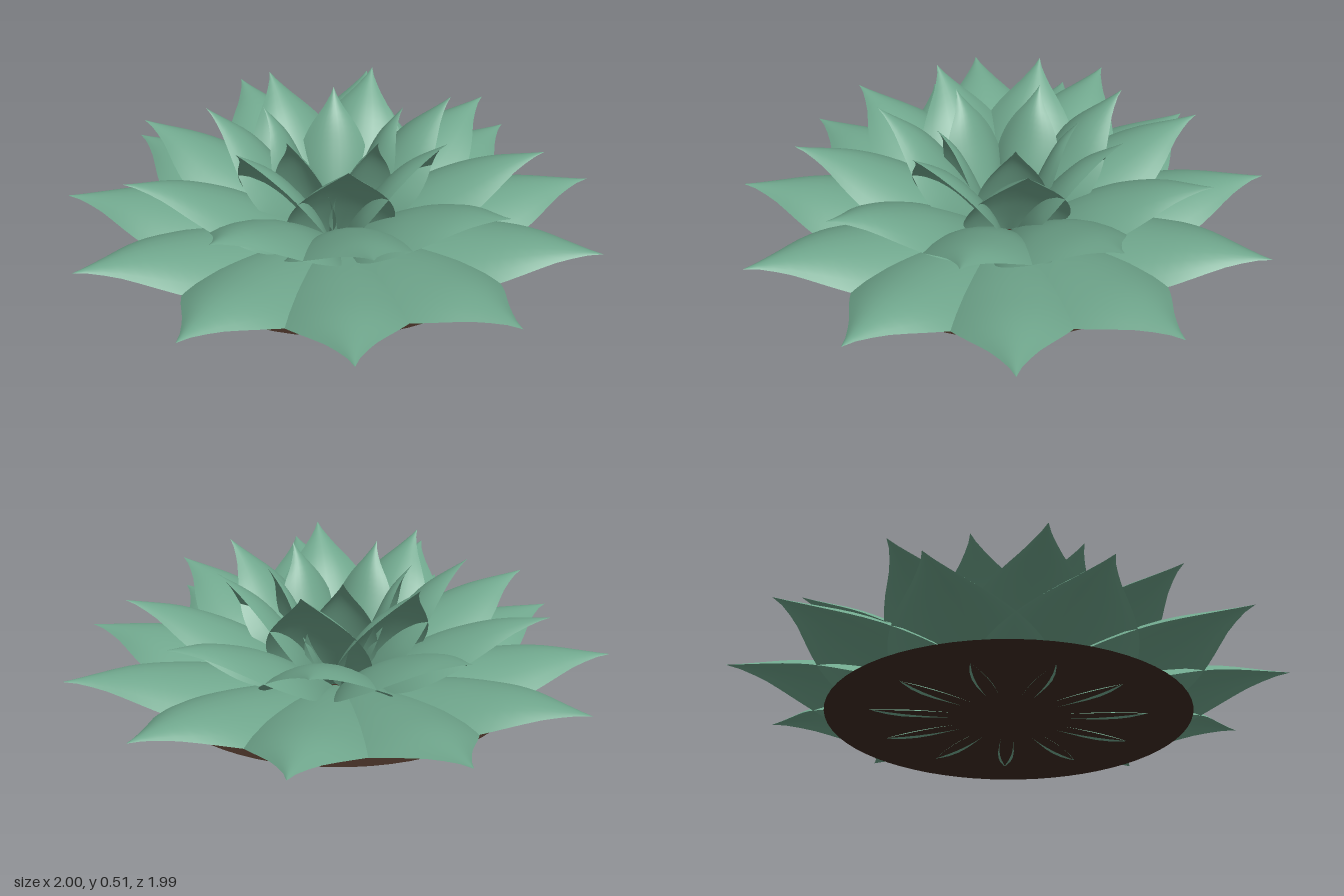
import * as THREE from 'three';

// relative half-width of a leaf at even steps from base to tip
const OUTLINE = [0.2, 0.55, 0.85, 1, 0.98, 0.84, 0.58, 0.24, 0];

// rings of leaves: midline as [distance from centre, height]
const RINGS = [
  { name: 'outerLeaf', count: 11, start: -5.2, width: 0.27,
    mid: [[0.05, 0.035], [0.2, 0.08], [0.36, 0.115], [0.55, 0.147], [0.76, 0.165], [1.01, 0.145]] },
  { name: 'middleLeaf', count: 9, start: 0, width: 0.23,
    mid: [[0.05, 0.04], [0.18, 0.14], [0.32, 0.23], [0.45, 0.29], [0.6, 0.34], [0.775, 0.37]] },
  { name: 'innerLeaf', count: 7, start: -31.2, width: 0.19,
    mid: [[0.05, 0.045], [0.12, 0.165], [0.2, 0.285], [0.31, 0.41], [0.465, 0.52]] },
  { name: 'heartLeaf', count: 5, start: 22, width: 0.13,
    mid: [[0.05, 0.05], [0.09, 0.18], [0.14, 0.31], [0.195, 0.42], [0.27, 0.51]] },
];
const DROOP = 0.42;

// leaf pointing along +z, arched so its side edges fall away from the midline
function leafGeometry({ mid, width }) {
  const curve = new THREE.SplineCurve(mid.map(([r, y]) => new THREE.Vector2(r, y)));
  const outline = new THREE.SplineCurve(OUTLINE.map((w, i) => new THREE.Vector2(i, w)));
  const geo = new THREE.PlaneGeometry(2, 1, 10, 20);
  const pos = geo.attributes.position;
  for (let i = 0; i < pos.count; i++) {
    const u = -pos.getX(i);
    const t = THREE.MathUtils.clamp(pos.getY(i) + 0.5, 0, 1);
    const p = curve.getPointAt(t);
    const d = curve.getTangentAt(t);
    const w = Math.max(0, outline.getPoint(t).y) * width;
    const fall = DROOP * w * u * u;
    pos.setXYZ(i, u * w, p.y - d.x * fall, p.x + d.y * fall);
  }
  geo.computeVertexNormals();
  return geo;
}

export function createModel() {
  const leafGreen = new THREE.MeshStandardMaterial({ color: 0x70a78d, side: THREE.DoubleSide });
  leafGreen.name = 'leafGreen';
  const soilBrown = new THREE.MeshStandardMaterial({ color: 0x3f2c22, side: THREE.DoubleSide });
  soilBrown.name = 'soilBrown';

  const model = new THREE.Group();
  model.name = 'succulent';
  const plant = new THREE.Group();
  plant.name = 'rosette';
  plant.position.set(-0.01, 0, -0.015);
  model.add(plant);

  // flat soil disc under the leaves
  const soil = new THREE.Mesh(new THREE.CircleGeometry(0.66, 64), soilBrown);
  soil.name = 'soilDisc';
  soil.rotation.x = -Math.PI / 2;
  soil.position.y = 0.012;
  plant.add(soil);

  // concentric rings of leaves
  for (const ring of RINGS) {
    const geo = leafGeometry(ring);
    for (let i = 0; i < ring.count; i++) {
      const leaf = new THREE.Mesh(geo, leafGreen);
      leaf.name = ring.name;
      leaf.rotation.y = THREE.MathUtils.degToRad(90 - ring.start - (i * 360) / ring.count);
      plant.add(leaf);
    }
  }
  return model;
}
